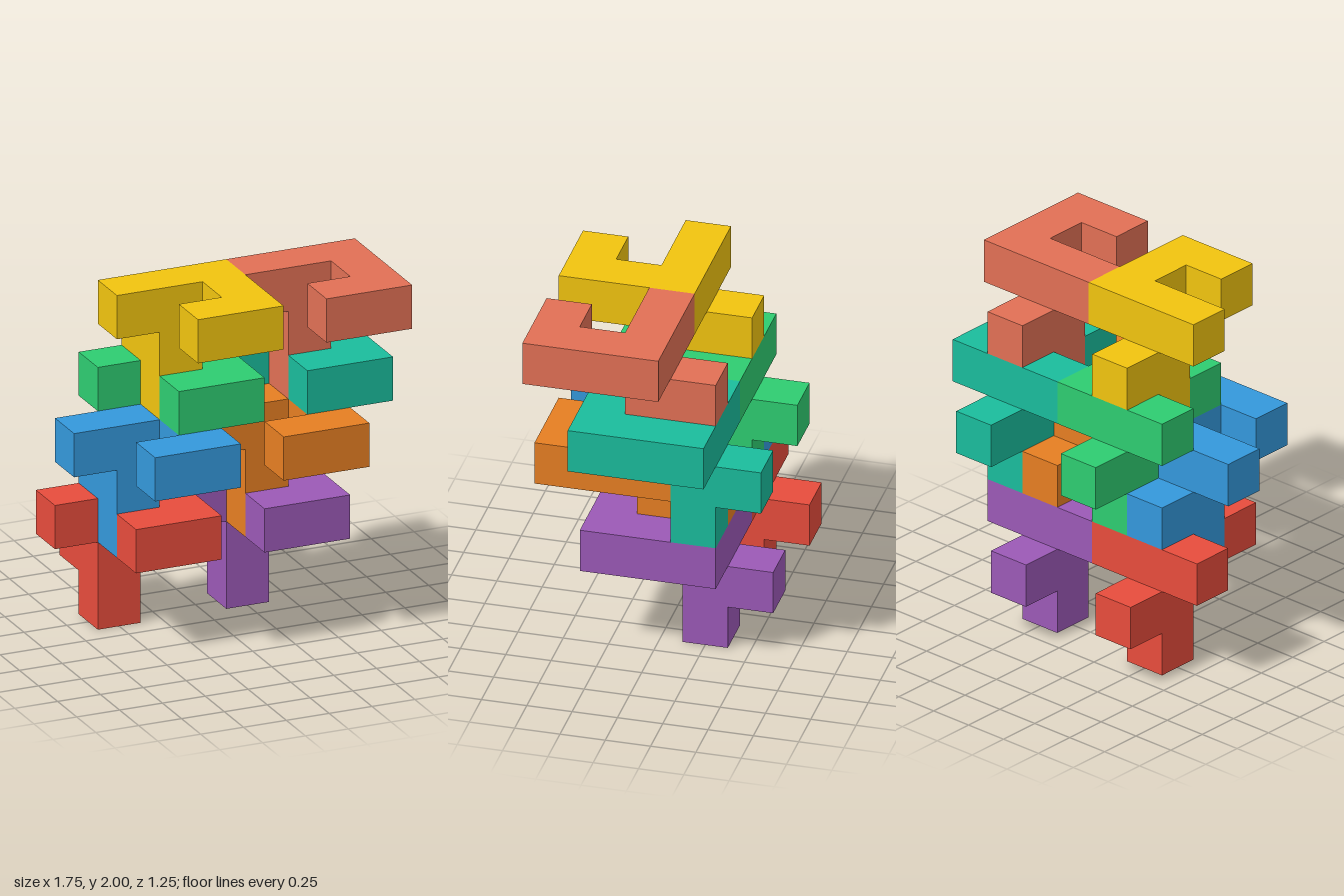
import * as THREE from 'three';

const CELL = 0.25;

// Extrude an outline given as [x, y] corners, in cell units
function extrude(points, depth) {
  const shape = new THREE.Shape(points.map(([x, y]) => new THREE.Vector2(x, y)));
  return new THREE.ExtrudeGeometry(shape, { depth, bevelEnabled: false });
}

// Flat hook: a back bar, one side arm and a short front return
function hookGeometry() {
  const outline = [[-1.5, -0.5], [1.5, -0.5], [1.5, 2.5], [-0.5, 2.5],
    [-0.5, 1.5], [0.5, 1.5], [0.5, 0.5], [-1.5, 0.5]];
  return extrude(outline.map(([x, z]) => [x, -z]), 1).rotateX(-Math.PI / 2);
}

// Stem below the hook: two cells down, with a knob to the rear ([z, y] profile)
function stemGeometry() {
  const profile = [[0.5, 0], [-1.5, 0], [-1.5, -1], [-0.5, -1], [-0.5, -2], [0.5, -2]];
  return extrude(profile, 1).rotateY(-Math.PI / 2).translate(0.5, 0, 0);
}

export function createModel() {
  const model = new THREE.Group();
  model.name = 'interlockingBlocks';
  const hook = hookGeometry();
  const stem = stemGeometry();

  // Four tiers of paired pieces; x, y, z of the hook's back bar in cells
  const tiers = [
    { x: -2, y: 2, z: -1, pair: [['red', 0xe74c3c], ['purple', 0x9b59b6]] },
    { x: -2, y: 4, z: 0, pair: [['blue', 0x3498db], ['orange', 0xe67e22]] },
    { x: -1, y: 5, z: -1, pair: [['green', 0x2ecc71], ['teal', 0x1abc9c]] },
    { x: -1, y: 7, z: 0, pair: [['yellow', 0xf1c40f], ['salmon', 0xe17055]] },
  ];

  for (const { x, y, z, pair } of tiers) {
    pair.forEach(([name, color], i) => {
      const material = new THREE.MeshStandardMaterial({ color });
      const piece = new THREE.Group();
      piece.name = `${name}Piece`;
      for (const [part, geometry] of [['Hook', hook], ['Stem', stem]]) {
        const mesh = new THREE.Mesh(geometry, material);
        mesh.name = name + part;
        piece.add(mesh);
      }
      piece.scale.setScalar(CELL);
      piece.position.set(x + 3 * i, y, z).multiplyScalar(CELL);
      model.add(piece);
    });
  }
  return model;
}
